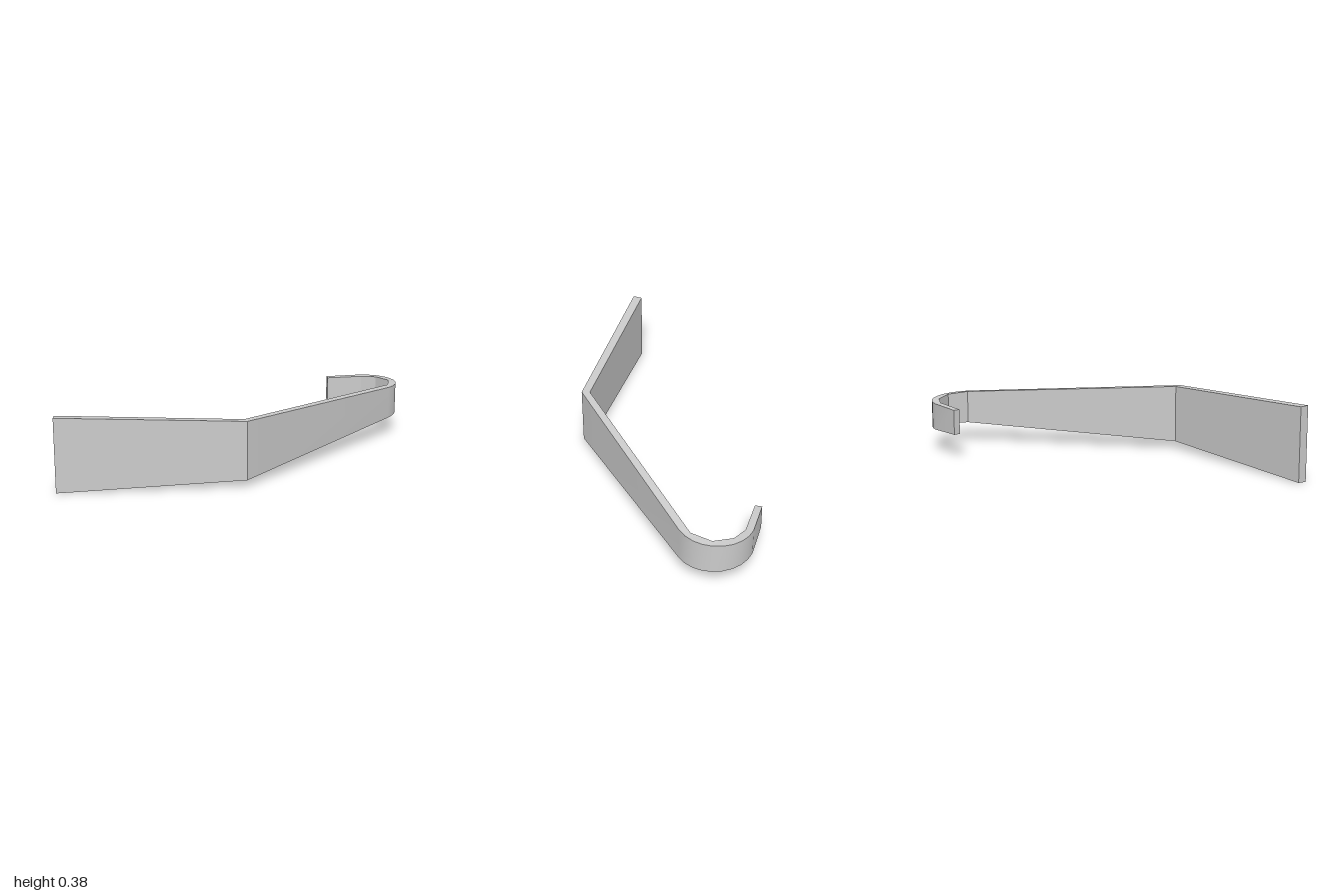
import * as THREE from 'three';
import { toCreasedNormals } from 'three/addons/utils/BufferGeometryUtils.js';

const MID_Y = 0.19;

// Half the strip height along the straight runs, narrowing towards the back
const taper = z => MID_Y - 0.0575 * (1 - z);

// Stations along the strip: outer and inner edge in plan (x, z), with half heights
function stations() {
  const list = [];
  const add = (outer, inner, ho = taper(outer[1]), hi = taper(inner[1])) =>
    list.push({ outer, inner, ho, hi });

  // Angled front plate and straight arm
  add([-0.295, 1.0], [-0.328, 0.967]);
  add([0.326, 0.312], [0.288, 0.293]);

  // Hook: round outside, three flat facets inside
  const facets = [[0.288, -0.852], [0.222, -0.942], [0.12, -0.963], [0.042, -0.931]];
  const steps = 9;
  for (let i = 0; i <= steps; i++) {
    const t = i / steps;
    const a = THREE.MathUtils.degToRad(132 * t);
    const f = Math.min(Math.floor(t * 3 + 1e-6), 2);
    const u = t * 3 - f;
    const inner = [0, 1].map(k => THREE.MathUtils.lerp(facets[f][k], facets[f + 1][k], u));
    const h = THREE.MathUtils.lerp(0.086, 0.07, t);
    add([0.137 + 0.189 * Math.cos(a), -0.811 - 0.189 * Math.sin(a)], inner, h, h);
  }

  // Short return lip
  add([-0.113, -0.814], [-0.086, -0.792], 0.065, 0.065);
  return list;
}

// Sweeps the four-cornered section through all stations and caps both ends
function stripGeometry(list) {
  const positions = [];
  const index = [];
  for (const { outer, inner, ho, hi } of list) {
    positions.push(
      outer[0], MID_Y + ho, outer[1],
      inner[0], MID_Y + hi, inner[1],
      inner[0], MID_Y - hi, inner[1],
      outer[0], MID_Y - ho, outer[1]
    );
  }
  const quad = (a, b, c, d) => index.push(a, b, c, a, c, d);
  for (let s = 0; s < list.length - 1; s++) {
    const a = s * 4, b = a + 4;
    for (let k = 0; k < 4; k++) {
      const n = (k + 1) % 4;
      quad(a + k, b + k, b + n, a + n);
    }
  }
  const e = (list.length - 1) * 4;
  quad(0, 1, 2, 3);
  quad(e + 3, e + 2, e + 1, e);

  const geometry = new THREE.BufferGeometry();
  geometry.setAttribute('position', new THREE.Float32BufferAttribute(positions, 3));
  geometry.setIndex(index);
  return toCreasedNormals(geometry, 0.4);
}

export function createModel() {
  const group = new THREE.Group();
  group.name = 'bentHook';
  const material = new THREE.MeshStandardMaterial({ color: 0xcccccc });
  const strip = new THREE.Mesh(stripGeometry(stations()), material);
  strip.name = 'hookedStrip';
  group.add(strip);
  return group;
}
